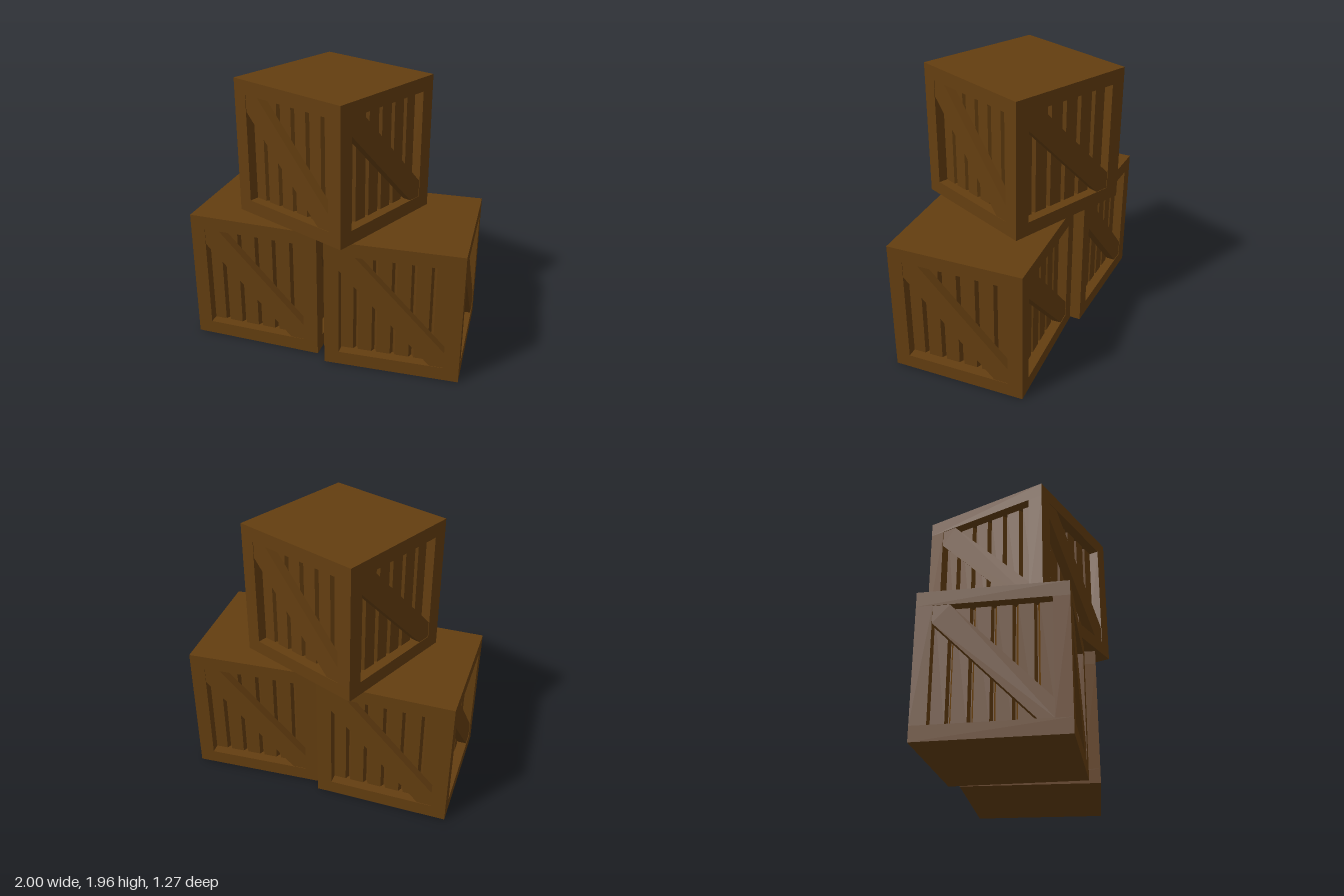
import * as THREE from 'three';

const SIZE = 0.962, HEIGHT = 0.98, RAIL = 0.1, POST = 0.107;
const HALF = SIZE / 2, OPEN_H = HEIGHT - 2 * RAIL, OPEN_W = SIZE - 2 * POST;
const PLANK_Z = HALF - 0.07;

const wood = new THREE.MeshStandardMaterial({ color: 0x643e10 });
wood.name = 'brown wood';

function part(name, geometry, x = 0, y = 0, z = 0) {
  const mesh = new THREE.Mesh(geometry, wood);
  mesh.name = name;
  mesh.position.set(x, y, z);
  return mesh;
}

// Wall of six upright planks, seen from above, with grooves between them
function plankGeometry() {
  const pitch = 0.134, w = OPEN_W / 2 + 0.002;
  const shape = new THREE.Shape();
  shape.moveTo(-w, -PLANK_Z);
  for (let i = -2; i <= 2; i++) {
    const x = i * pitch;
    shape.lineTo(x - 0.018, -PLANK_Z);
    shape.lineTo(x - 0.003, -PLANK_Z + 0.03);
    shape.lineTo(x + 0.003, -PLANK_Z + 0.03);
    shape.lineTo(x + 0.018, -PLANK_Z);
  }
  shape.lineTo(w, -PLANK_Z);
  shape.lineTo(w, -PLANK_Z + 0.04);
  shape.lineTo(-w, -PLANK_Z + 0.04);
  return new THREE.ExtrudeGeometry(shape, { depth: OPEN_H, bevelEnabled: false }).rotateX(-Math.PI / 2);
}

// Diagonal board cut to fit the corners of the opening
function braceGeometry() {
  const w = OPEN_W / 2, h = OPEN_H / 2;
  const shape = new THREE.Shape([
    [-w, h - 0.12], [w - 0.1, -h], [w, -h], [w, -h + 0.12], [-w + 0.11, h], [-w, h],
  ].map(([x, y]) => new THREE.Vector2(x, y)));
  return new THREE.ExtrudeGeometry(shape, { depth: HALF - PLANK_Z - 0.004, bevelEnabled: false });
}

const planks = plankGeometry();
const brace = braceGeometry();
const slab = new THREE.BoxGeometry(SIZE, RAIL, SIZE);
const post = new THREE.BoxGeometry(POST, OPEN_H, POST);

function makeCrate(name, x, y, z, turn) {
  const crate = new THREE.Group();
  crate.name = name;
  crate.add(part('bottomSlab', slab, 0, RAIL / 2, 0));
  crate.add(part('topSlab', slab, 0, HEIGHT - RAIL / 2, 0));
  // Four identical sides, each with one corner post
  for (let i = 0; i < 4; i++) {
    const side = new THREE.Group();
    side.name = 'side';
    side.rotation.y = i * Math.PI / 2;
    const c = HALF - POST / 2;
    side.add(part('cornerPost', post, c, HEIGHT / 2, c));
    side.add(part('planks', planks, 0, RAIL, 0));
    side.add(part('diagonalBrace', brace, 0, HEIGHT / 2, PLANK_Z));
    crate.add(side);
  }
  crate.position.set(x, y, z);
  crate.rotation.y = turn;
  return crate;
}

export function createModel() {
  const model = new THREE.Group();
  model.name = 'crateStack';
  model.add(makeCrate('rightCrate', -0.51, 0, -0.03, -0.021));
  model.add(makeCrate('leftCrate', 0.495, 0, 0.033, 0.047));
  model.add(makeCrate('topCrate', -0.055, HEIGHT, -0.004, -0.417));
  return model;
}
